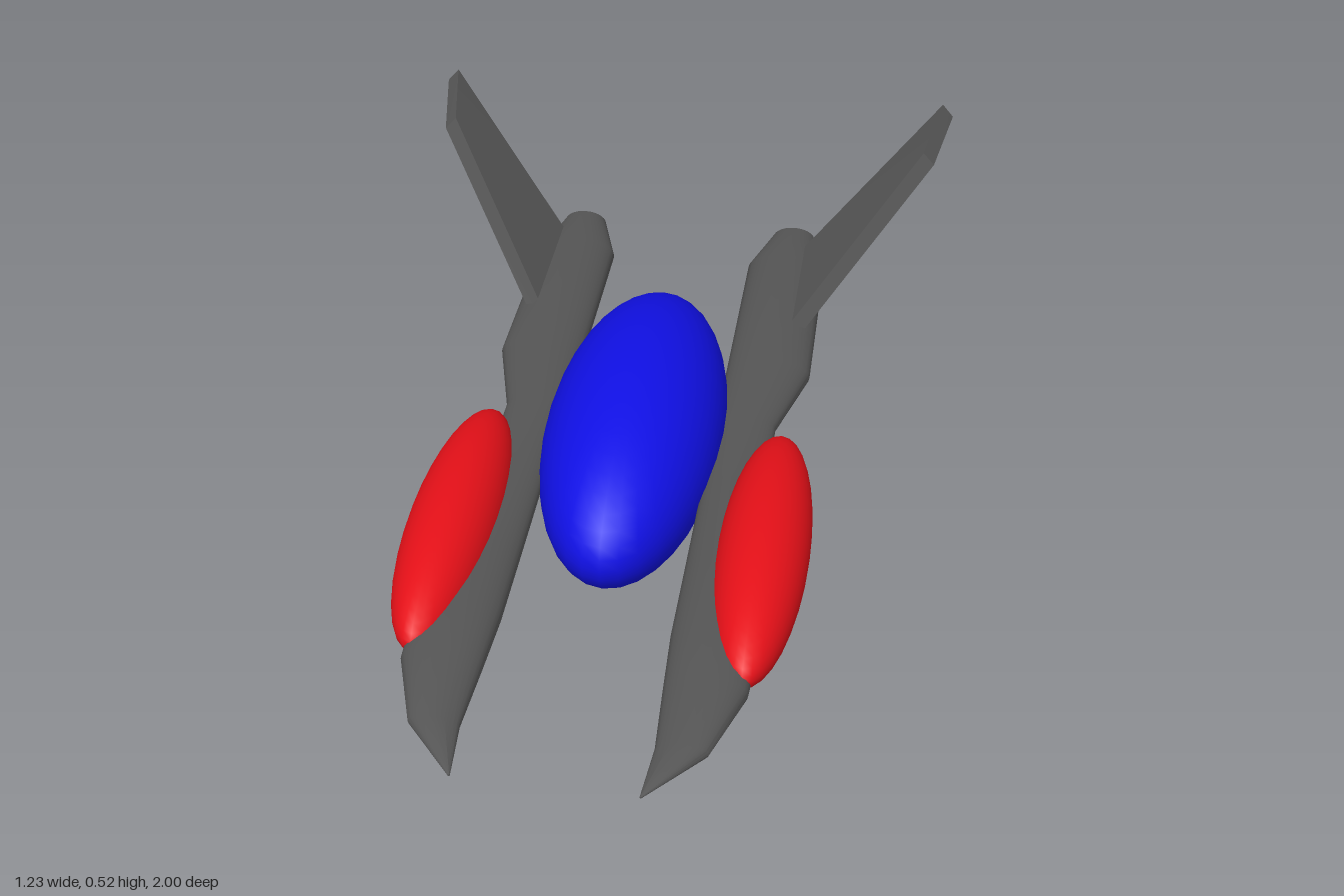
import * as THREE from 'three';
import { toCreasedNormals } from 'three/addons/utils/BufferGeometryUtils.js';

const paint = (color) => new THREE.MeshStandardMaterial({ color });
const grey = paint(0x555555), blue = paint(0x1010e6), red = paint(0xe61018);

// Skin a series of closed rings and cap both ends; side -1 gives the mirror image
function loft(rings, side, crease) {
  const n = rings[0].length, pos = [], idx = [];
  const tri = (a, b, c) => (side > 0 ? idx.push(a, b, c) : idx.push(a, c, b));
  rings.forEach((ring) => ring.forEach(([x, y, z]) => pos.push(x * side, y, z)));
  for (let i = 0; i < rings.length - 1; i++) {
    for (let j = 0; j < n; j++) {
      const a = i * n + j, b = i * n + (j + 1) % n;
      tri(a, b, b + n);
      tri(a, b + n, a + n);
    }
  }
  const last = (rings.length - 1) * n;
  for (let j = 1; j < n - 1; j++) {
    tri(0, j + 1, j);
    tri(last, last + j, last + j + 1);
  }
  const geo = new THREE.BufferGeometry();
  geo.setAttribute('position', new THREE.Float32BufferAttribute(pos, 3));
  geo.setIndex(idx);
  return toCreasedNormals(geo, crease);
}

function addMesh(parent, name, geometry, material) {
  const mesh = new THREE.Mesh(geometry, material);
  mesh.name = name;
  parent.add(mesh);
  return mesh;
}

function ellipsoid(parent, name, material, center, radii) {
  const mesh = addMesh(parent, name, new THREE.SphereGeometry(1, 32, 24), material);
  mesh.position.set(...center);
  mesh.scale.set(...radii);
}

// Boom stations: z, inner x, outer x, bottom y, top y
const boomStations = [
  [-0.9, 0.21, 0.31, 0.15, 0.21],
  [-0.75, 0.164, 0.345, 0.138, 0.222],
  [-0.31, 0.164, 0.35, 0.138, 0.222],
  [-0.1, 0.164, 0.295, 0.155, 0.212],
  [0.12, 0.164, 0.295, 0.15, 0.215],
  [0.4, 0.164, 0.335, 0.138, 0.222],
  [0.58, 0.164, 0.335, 0.136, 0.224],
  [0.72, 0.17, 0.328, 0.142, 0.218],
  [0.88, 0.178, 0.275, 0.16, 0.2],
  [1.0, 0.169, 0.173, 0.178, 0.182],
];

function boomRing([z, x0, x1, y0, y1]) {
  return Array.from({ length: 28 }, (_, i) => {
    const a = (i / 28) * Math.PI * 2;
    return [
      (x0 + x1) / 2 + Math.cos(a) * (x1 - x0) / 2,
      (y0 + y1) / 2 + Math.sin(a) * (y1 - y0) / 2,
      z,
    ];
  });
}

// Canted tail fin: root and tip sections
const finRings = [
  [[0.295, 0.23, -0.785], [0.295, 0.23, -0.46], [0.32, 0.203, -0.46], [0.32, 0.203, -0.785]],
  [[0.591, 0.523, -1], [0.556, 0.493, -0.81], [0.582, 0.464, -0.81], [0.617, 0.493, -1]],
];

export function createModel() {
  const model = new THREE.Group();
  model.name = 'spacecraft';

  // Central body
  ellipsoid(model, 'body', blue, [0, 0.19, -0.04], [0.19, 0.19, 0.47]);

  // Boom, outboard pod and tail fin on each side
  for (const side of [1, -1]) {
    const half = new THREE.Group();
    half.name = side > 0 ? 'leftSide' : 'rightSide';
    addMesh(half, 'boom', loft(boomStations.map(boomRing), side, 0.6), grey);
    addMesh(half, 'tailFin', loft(finRings, side, 0.3), grey);
    ellipsoid(half, 'pod', red, [side * 0.313, 0.191, 0.325], [0.093, 0.094, 0.376]);
    model.add(half);
  }
  return model;
}
